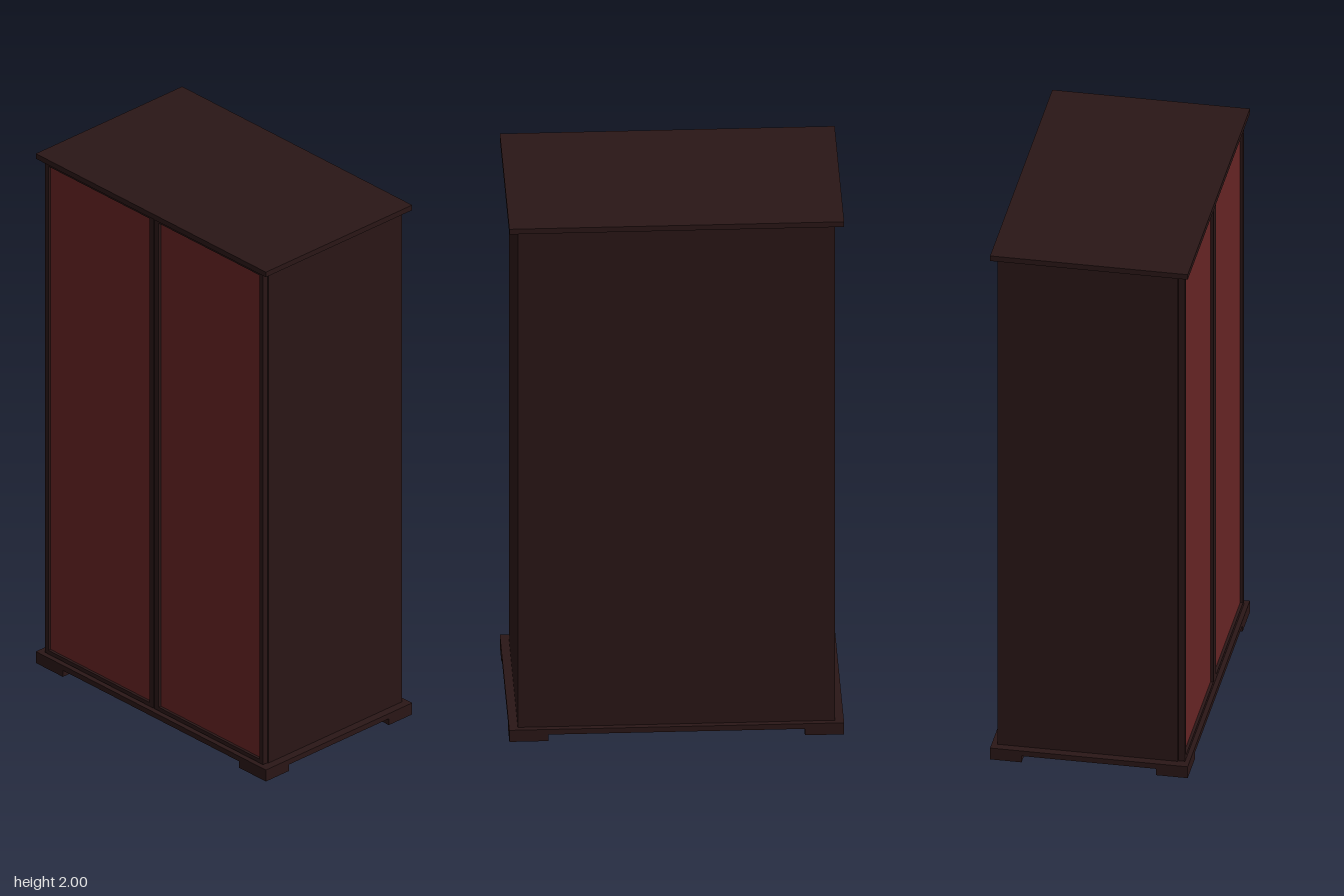
import * as THREE from 'three';

const wood = new THREE.MeshStandardMaterial({ color: 0x2a1616 });
const red = new THREE.MeshStandardMaterial({ color: 0x662424 });

// Box given by its minimum and maximum corners
function box(name, [x0, y0, z0], [x1, y1, z1], material = wood) {
  const mesh = new THREE.Mesh(new THREE.BoxGeometry(x1 - x0, y1 - y0, z1 - z0), material);
  mesh.position.set((x0 + x1) / 2, (y0 + y1) / 2, (z0 + z1) / 2);
  mesh.name = name;
  return mesh;
}

function rectangle(PathType, x0, y0, x1, y1) {
  return new PathType([[x0, y0], [x1, y0], [x1, y1], [x0, y1]].map(([x, y]) => new THREE.Vector2(x, y)));
}

// Door: a narrow frame around a slightly recessed red panel
function door(name, side) {
  const group = new THREE.Group();
  group.name = name;
  const [a, b] = side > 0 ? [0.003, 0.545] : [-0.545, -0.003];
  const [pa, pb] = side > 0 ? [0.023, 0.528] : [-0.528, -0.023];
  const outline = rectangle(THREE.Shape, a, 0.048, b, 1.978);
  outline.holes.push(rectangle(THREE.Path, pa, 0.063, pb, 1.963));
  const frame = new THREE.Mesh(new THREE.ExtrudeGeometry(outline, { depth: 0.022, bevelEnabled: false }), wood);
  frame.position.z = 0.308;
  frame.name = 'doorFrame';
  group.add(frame, box('doorPanel', [pa, 0.063, 0.308], [pb, 1.963, 0.32], red));
  return group;
}

export function createModel() {
  const model = new THREE.Group();
  model.name = 'wardrobe';

  // Carcass between two overhanging boards
  model.add(box('topBoard', [-0.575, 1.98, -0.345], [0.575, 2, 0.345]));
  model.add(box('baseBoard', [-0.575, 0.025, -0.345], [0.575, 0.045, 0.345]));
  model.add(box('carcass', [-0.545, 0.045, -0.325], [0.545, 1.98, 0.305]));

  // Pair of doors
  model.add(door('leftDoor', 1), door('rightDoor', -1));

  // Corner feet
  for (const sx of [-1, 1]) {
    for (const sz of [-1, 1]) {
      const foot = box('foot', [-0.0675, 0, -0.055], [0.0675, 0.025, 0.055]);
      foot.position.x = sx * 0.5075;
      foot.position.z = sz * 0.29;
      model.add(foot);
    }
  }
  return model;
}
